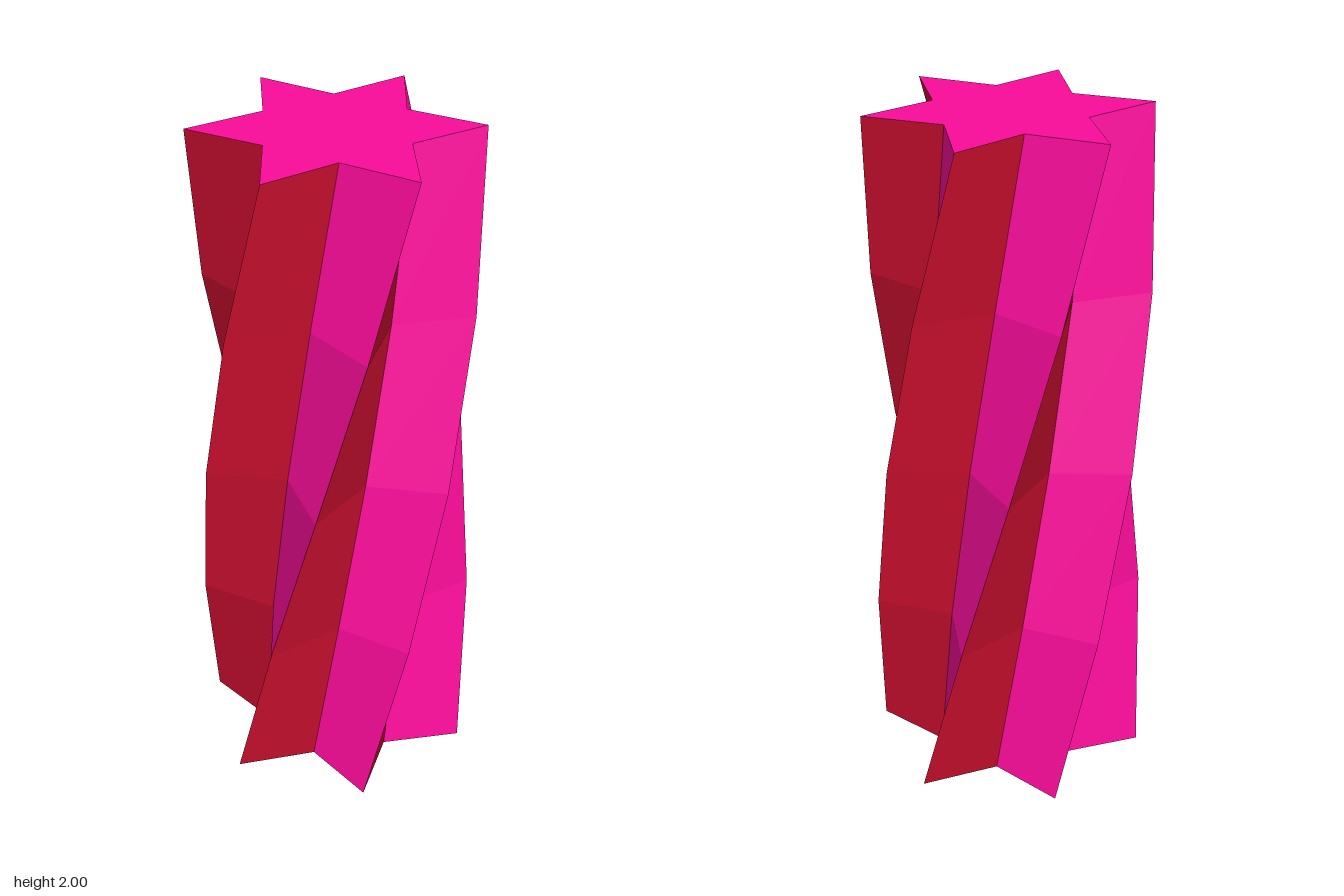
import * as THREE from 'three';

const POINTS = 6, OUTER = 0.4, INNER = 0.223, HEIGHT = 2, STEPS = 4;
const TWIST = THREE.MathUtils.degToRad(80);

// Corner k of the star outline on ring i; even corners are tips, odd ones valleys
function corner(k, i) {
  const r = k % 2 ? INNER : OUTER;
  const a = (k * Math.PI) / POINTS - TWIST * (1 - i / STEPS);
  return new THREE.Vector3(r * Math.sin(a), (HEIGHT * i) / STEPS, r * Math.cos(a));
}

// Flanks on one side of every ridge (side 0 or 1), plus the cap of the same colour
function starHalf(side) {
  const positions = [], normals = [];
  const tri = (normal, ...corners) => {
    for (const p of corners) {
      positions.push(...p.toArray());
      normals.push(...normal.toArray());
    }
  };
  // Each panel is split along its hollow diagonal and shaded as one flat facet
  for (let k = side; k < 2 * POINTS; k += 2) {
    for (let i = 0; i < STEPS; i++) {
      const a = corner(k, i), b = corner(k + 1, i);
      const c = corner(k + 1, i + 1), d = corner(k, i + 1);
      const normal = c.clone().sub(a).cross(d.clone().sub(b)).normalize();
      tri(normal, a, b, c);
      tri(normal, a, c, d);
    }
  }
  // Star cap as a fan around the axis
  const up = new THREE.Vector3(0, side ? 1 : -1, 0);
  const ring = side ? STEPS : 0;
  const centre = new THREE.Vector3(0, side ? HEIGHT : 0, 0);
  for (let k = 0; k < 2 * POINTS; k++) {
    tri(up, centre, corner(k + 1 - side, ring), corner(k + side, ring));
  }
  const geometry = new THREE.BufferGeometry();
  geometry.setAttribute('position', new THREE.Float32BufferAttribute(positions, 3));
  geometry.setAttribute('normal', new THREE.Float32BufferAttribute(normals, 3));
  return geometry;
}

export function createModel() {
  const group = new THREE.Group();
  group.name = 'twistedStarColumn';
  const add = (name, side, color) => {
    const mesh = new THREE.Mesh(starHalf(side), new THREE.MeshStandardMaterial({ color }));
    mesh.name = name;
    group.add(mesh);
  };
  // Downward-leaning flanks with the bottom cap, upward-leaning flanks with the top cap
  add('lowerFlanksAndBase', 0, 0xd01030);
  add('upperFlanksAndTop', 1, 0xfa0c9a);
  return group;
}
